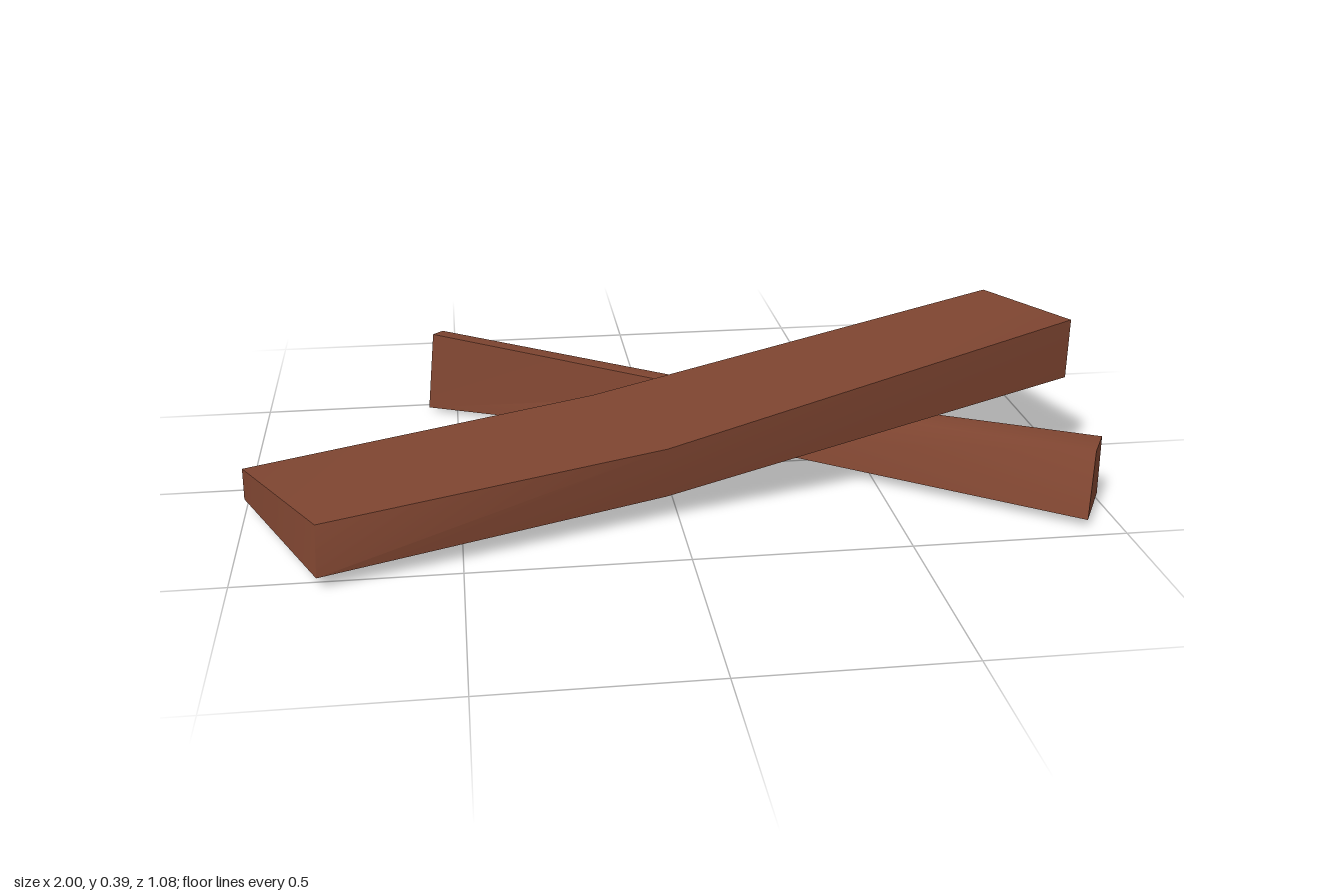
import * as THREE from 'three';
import { toCreasedNormals } from 'three/addons/utils/BufferGeometryUtils.js';

const wood = new THREE.MeshStandardMaterial({ color: 0x7d4430 });
wood.name = 'reddish brown wood';

// Loft a plank through sections running along +x.
// Section corners: top front, top back, bottom back, bottom front.
function plank(name, sections) {
  const index = [];
  const quad = (a, b, c, d) => index.push(a, b, c, a, c, d);
  const last = (sections.length - 1) * 4;

  // Long sides
  for (let s = 0; s < last; s += 4) {
    for (let c = 0; c < 4; c++) {
      const n = (c + 1) % 4;
      quad(s + c, s + 4 + c, s + 4 + n, s + n);
    }
  }
  // End cuts
  quad(0, 1, 2, 3);
  quad(last + 3, last + 2, last + 1, last);

  const geo = new THREE.BufferGeometry();
  geo.setAttribute('position', new THREE.Float32BufferAttribute(sections.flat(2), 3));
  geo.setIndex(index);
  // Only the blunt edges are softened
  const mesh = new THREE.Mesh(toCreasedNormals(geo, 1.4), wood);
  mesh.name = name;
  return mesh;
}

export function createModel() {
  const group = new THREE.Group();
  group.name = 'crossedPlanks';

  // Wide plank resting on top, bent upward toward +x
  group.add(plank('upperPlank', [
    [[-0.805, 0.15, 0.53], [-1, 0.108, 0.12], [-1, 0.035, 0.13], [-0.81, 0.03, 0.54]],
    [[-0.03, 0.187, 0.315], [-0.17, 0.203, 0], [-0.16, 0.115, 0.02], [-0.03, 0.062, 0.3]],
    [[0.97, 0.388, 0.128], [0.89, 0.335, -0.287], [0.885, 0.225, -0.285], [0.98, 0.23, 0.1]],
  ]));

  // Narrow plank on edge underneath
  group.add(plank('lowerPlank', [
    [[-0.555, 0.207, -0.485], [-0.53, 0.197, -0.54], [-0.53, 0, -0.54], [-0.575, 0.01, -0.455]],
    [[0.19, 0.147, -0.1], [0.23, 0.145, -0.135], [0.2, 0.025, -0.15], [0.13, 0.028, -0.1]],
    [[0.95, 0.163, 0.4], [0.997, 0.162, 0.315], [0.99, 0.025, 0.335], [0.92, 0.02, 0.462]],
  ]));
  return group;
}
